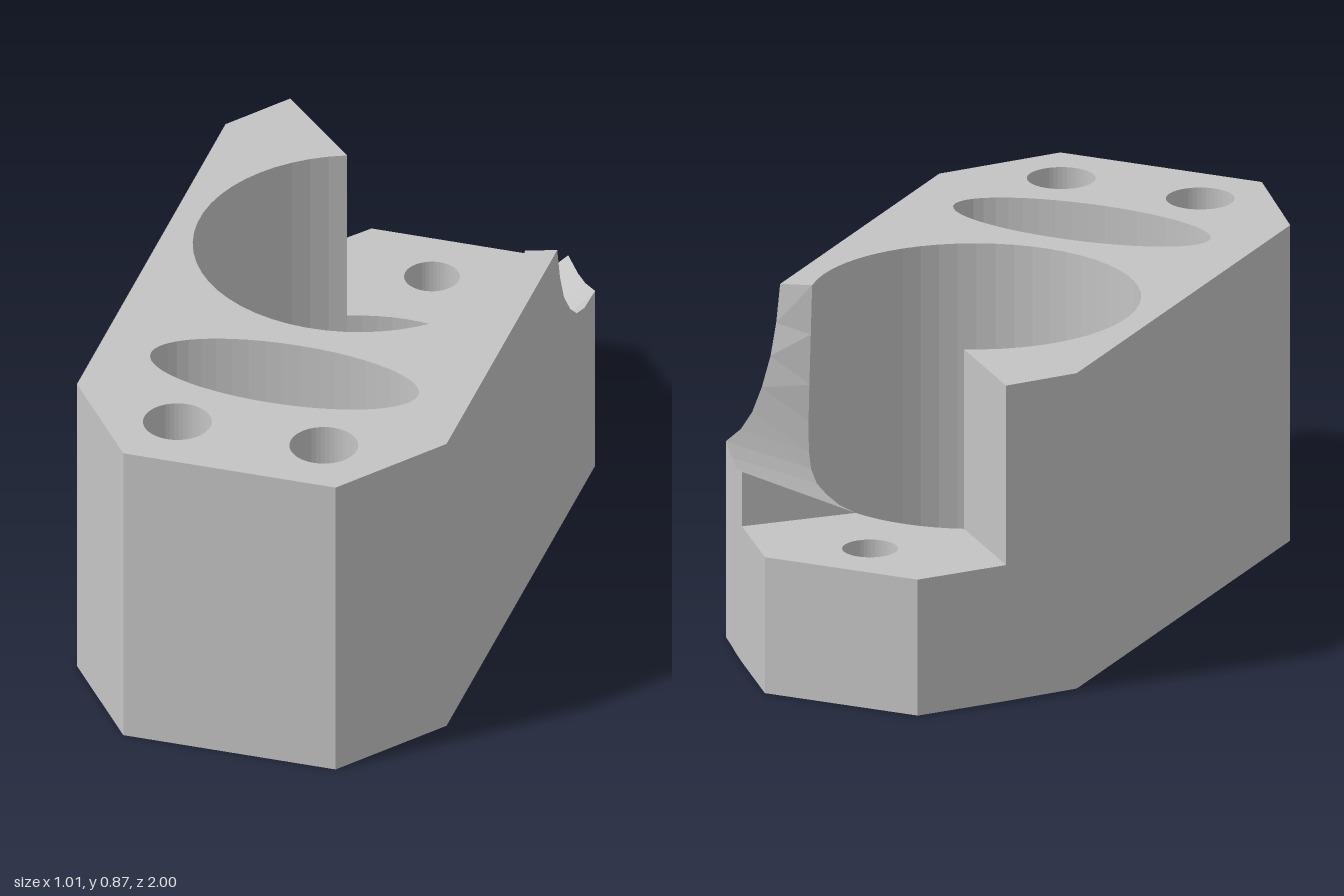
import * as THREE from 'three';

const TOP = 0.87, SHELF = 0.375, FLOOR = 0.075;
const BORE = { x: 0, z: -0.165, rx: 0.435, rz: 0.435 };
const SLOT = { x: 0, z: 0.505, rx: 0.365, rz: 0.145 };
const FRONT_HOLES = [-0.2, 0.2].map((x) => ({ x, z: 0.81, rx: 0.09, rz: 0.09 }));
const BACK_HOLE = { x: 0, z: -0.82, rx: 0.073, rz: 0.073 };

// Scoop: bore angle and height of the inner rim, then x, z, height of the outer rim
const SCOOP_IN = [[-12.6, 0.87], [-15, 0.74], [-18.5, 0.61], [-23, 0.52], [-29, 0.455],
  [-35, 0.42], [-43, 0.4], [-52, 0.39], [-60, 0.38], [-69, 0.375]];
const SCOOP_OUT = [[0.505, -0.285, 0.87], [0.505, -0.31, 0.77], [0.505, -0.345, 0.69],
  [0.505, -0.4, 0.62], [0.505, -0.46, 0.57], [0.505, -0.53, 0.545], [0.505, -0.625, 0.54],
  [0.46, -0.685, 0.52], [0.425, -0.735, 0.513], [0.38, -0.795, 0.525]];

// Points [x, z] on an ellipse, from angle a to angle b in degrees
function arc(e, a = 0, b = 360, n = 48) {
  return Array.from({ length: n + 1 }, (_, i) => {
    const t = THREE.MathUtils.degToRad(a + ((b - a) * i) / n);
    return [e.x + e.rx * Math.cos(t), e.z + e.rz * Math.sin(t)];
  });
}

// Faceted strip between two rows of [x, y, z] points
function strip(low, high) {
  const pos = [];
  for (let i = 0; i < low.length - 1; i++) {
    const [a, b, c, d] = [low[i], low[i + 1], high[i + 1], high[i]];
    pos.push(...a, ...b, ...c, ...a, ...c, ...d);
  }
  const g = new THREE.BufferGeometry();
  g.setAttribute('position', new THREE.Float32BufferAttribute(pos, 3));
  g.computeVertexNormals();
  return g;
}

// Upright wall over [x, z, top] points
function wall(points, bottom, top = TOP) {
  return strip(points.map(([x, z]) => [x, bottom, z]),
    points.map(([x, z, y = top]) => [x, y, z]));
}

// Flat face at height y, with elliptical openings
function cap(points, y, holes = [], up = true) {
  const s = up ? -1 : 1;
  const toV = ([x, z]) => new THREE.Vector2(x, s * z);
  const shape = new THREE.Shape(points.map(toV));
  for (const h of holes) shape.holes.push(new THREE.Path(arc(h).slice(0, -1).map(toV)));
  const g = new THREE.ShapeGeometry(shape);
  g.rotateX((s * Math.PI) / 2);
  g.translate(0, y, 0);
  return g;
}

export function createModel() {
  const group = new THREE.Group();
  const grey = new THREE.MeshStandardMaterial({ color: 0xc4c4c4 });
  const dull = grey;
  dull.name = 'plainGrey';
  const add = (name, geometry) => {
    const m = new THREE.Mesh(geometry, grey);
    m.name = name;
    group.add(m);
  };

  // Outline corners
  const outline = [[-0.29, 1], [0.29, 1], [0.505, 0.71], [0.505, -0.625],
    [0.22, -1], [-0.22, -1], [-0.505, -0.625], [-0.505, 0.71]];
  const frontRun = [[-0.38, -0.795], [-0.505, -0.625], [-0.505, 0.71], [-0.29, 1],
    [0.29, 1], [0.505, 0.71], [0.505, -0.285]];
  const shelfRun = [[0.38, -0.795], [0.22, -1], [-0.22, -1], [-0.38, -0.795]];

  // Rim points around the bore
  const boreMain = arc(BORE, -12.6, 249, 40);
  const boreBack = arc(BORE, -111, -69, 8);
  const boreScoop = SCOOP_IN.map(([a, y]) => [...arc(BORE, a, a, 1)[0], y]);
  const backLeft = boreBack[0], backRight = boreBack[boreBack.length - 1];

  // Horizontal faces
  add('bottomFace', cap(outline, 0, [...FRONT_HOLES, BACK_HOLE], false));
  add('topFace', cap([...frontRun, ...boreMain], TOP, [SLOT, ...FRONT_HOLES]));
  add('backShelf', cap([...shelfRun, ...boreBack], SHELF, [BACK_HOLE]));
  add('boreFloor', cap([...boreMain, ...boreBack.slice(1), ...boreScoop.slice(1, -1).reverse()], FLOOR));
  add('slotFloor', cap(arc(SLOT).slice(0, -1), FLOOR));

  // Outer walls
  add('outerWall', wall(frontRun, 0));
  add('shelfWall', wall(shelfRun, 0, SHELF));
  add('scoopSideWall', wall(SCOOP_OUT, 0));

  // Walls of the wedge cut at the back
  add('wedgeWall', wall([backLeft, [-0.38, -0.795]].reverse(), SHELF));
  add('wedgeStep', wall([[...backRight, SHELF], [0.38, -0.795, 0.525]].reverse(), SHELF));
  group.children[group.children.length - 2].geometry = wall([[-0.38, -0.795], backLeft].reverse(), SHELF);
  orient(group.getObjectByName('wedgeWall').geometry, 1);
  orient(group.getObjectByName('wedgeStep').geometry, -1);

  // Scooped side outlet
  add('scoop', strip(boreScoop.map(([x, z, y]) => [x, y, z]),
    SCOOP_OUT.map(([x, z, y]) => [x, y, z])));
  orient(group.getObjectByName('scoop').geometry, 1, 1);

  // Bore, slot and bolt holes
  add('boreWall', wall(boreMain, FLOOR));
  add('boreBackWall', wall(boreBack, FLOOR, SHELF));
  add('boreScoopWall', wall([...boreScoop].reverse(), FLOOR));
  add('slotWall', wall(arc(SLOT), FLOOR));
  FRONT_HOLES.forEach((h) => add('frontBoltHole', wall(arc(h), 0)));
  add('backBoltHole', wall(arc(BACK_HOLE), 0, SHELF));
  return group;
}

// Turn a strip so its normals point along the given sign of one axis
function orient(g, sign, axis = 0) {
  const p = g.attributes.position, n = g.attributes.normal;
  let sum = 0;
  for (let i = 0; i < n.count; i++) sum += n.getComponent(i, axis) || 0;
  if (sum * sign >= 0) return;
  for (let i = 0; i < p.count; i += 3) {
    for (let k = 0; k < 3; k++) {
      const t = p.getComponent(i + 1, k);
      p.setComponent(i + 1, k, p.getComponent(i + 2, k));
      p.setComponent(i + 2, k, t);
    }
  }
  g.computeVertexNormals();
}
